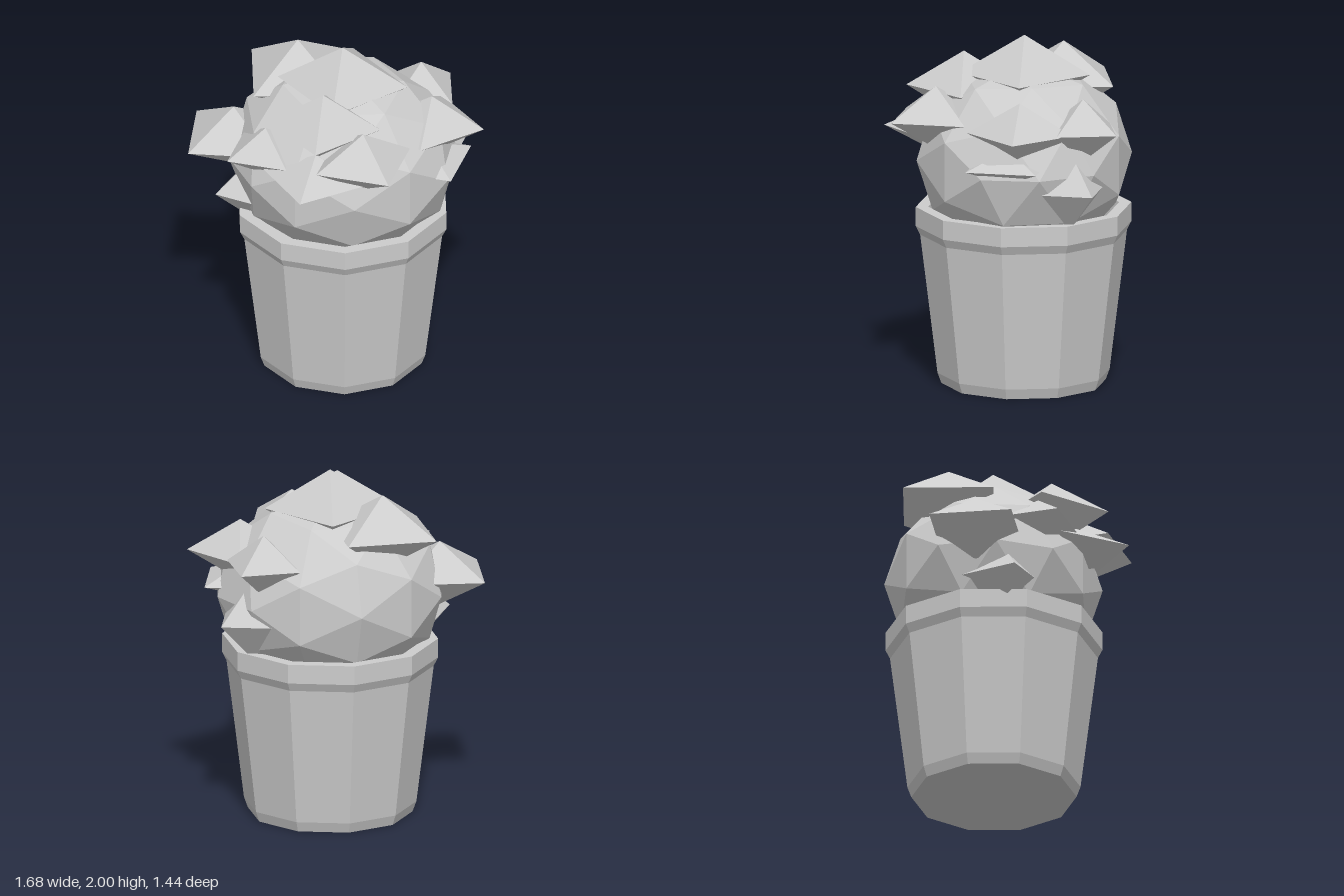
import * as THREE from 'three';

// Split a geometry into hard facets
function faceted(geometry) {
  const g = geometry.index ? geometry.toNonIndexed() : geometry;
  g.computeVertexNormals();
  return g;
}

export function createModel() {
  const model = new THREE.Group();
  model.name = 'pottedShrub';
  const grey = new THREE.MeshStandardMaterial({ color: 0xcccccc });
  grey.name = 'light grey';

  const add = (name, geometry, x, y, z) => {
    const mesh = new THREE.Mesh(geometry, grey);
    mesh.name = name;
    mesh.position.set(x, y, z);
    model.add(mesh);
    return mesh;
  };

  // Ten-sided pot: base, wall, rim, hollow inside and inner floor
  const profile = [
    [0, 0], [0.465, 0], [0.487, 0.06], [0.585, 0.86], [0.61, 0.91],
    [0.61, 1.02], [0.54, 1.02], [0.52, 0.86], [0, 0.86],
  ].map(([r, y]) => new THREE.Vector2(r, y));
  add('pot', faceted(new THREE.LatheGeometry(profile, 10, Math.PI / 2)), 0.04, 0, -0.115);

  // Rounded bush body with a flat facet towards the front and back
  const body = new THREE.IcosahedronGeometry(1, 1);
  body.rotateY(0.365);
  body.scale(0.655, 0.55, 0.61);
  add('bush', faceted(body), 0.045, 1.3, -0.12);

  // Leaf clumps: x, y, z, radius, half height, turn
  const clumps = [
    [0.04, 1.775, -0.12, 0.37, 0.225, 0.13],
    [0.03, 1.69, 0.23, 0.325, 0.2, 0.15],
    [0.295, 1.56, 0.335, 0.3, 0.18, Math.PI / 4],
    [0.03, 1.44, 0.38, 0.31, 0.145, 0],
    [-0.3, 1.485, 0.26, 0.245, 0.15, Math.PI / 4],
    [-0.27, 1.69, -0.28, 0.36, 0.215, 1.095],
    [-0.57, 1.38, -0.02, 0.33, 0.185, 0.97],
    [0.38, 1.545, -0.53, 0.24, 0.18, -0.46],
    [0.54, 1.54, -0.2, 0.3, 0.18, 0.07],
    [0.53, 1.35, -0.13, 0.285, 0.1, Math.PI / 4],
    [0.42, 1.21, -0.44, 0.27, 0.27, Math.PI / 4],
    [-0.4, 1.12, 0.08, 0.25, 0.22, 0.6],
  ];
  const clump = new THREE.OctahedronGeometry(1);
  clumps.forEach(([x, y, z, r, h, turn], i) => {
    const mesh = add(`leafClump${i + 1}`, clump, x, y, z);
    mesh.scale.set(r, h, r);
    mesh.rotation.y = turn;
  });

  return model;
}
